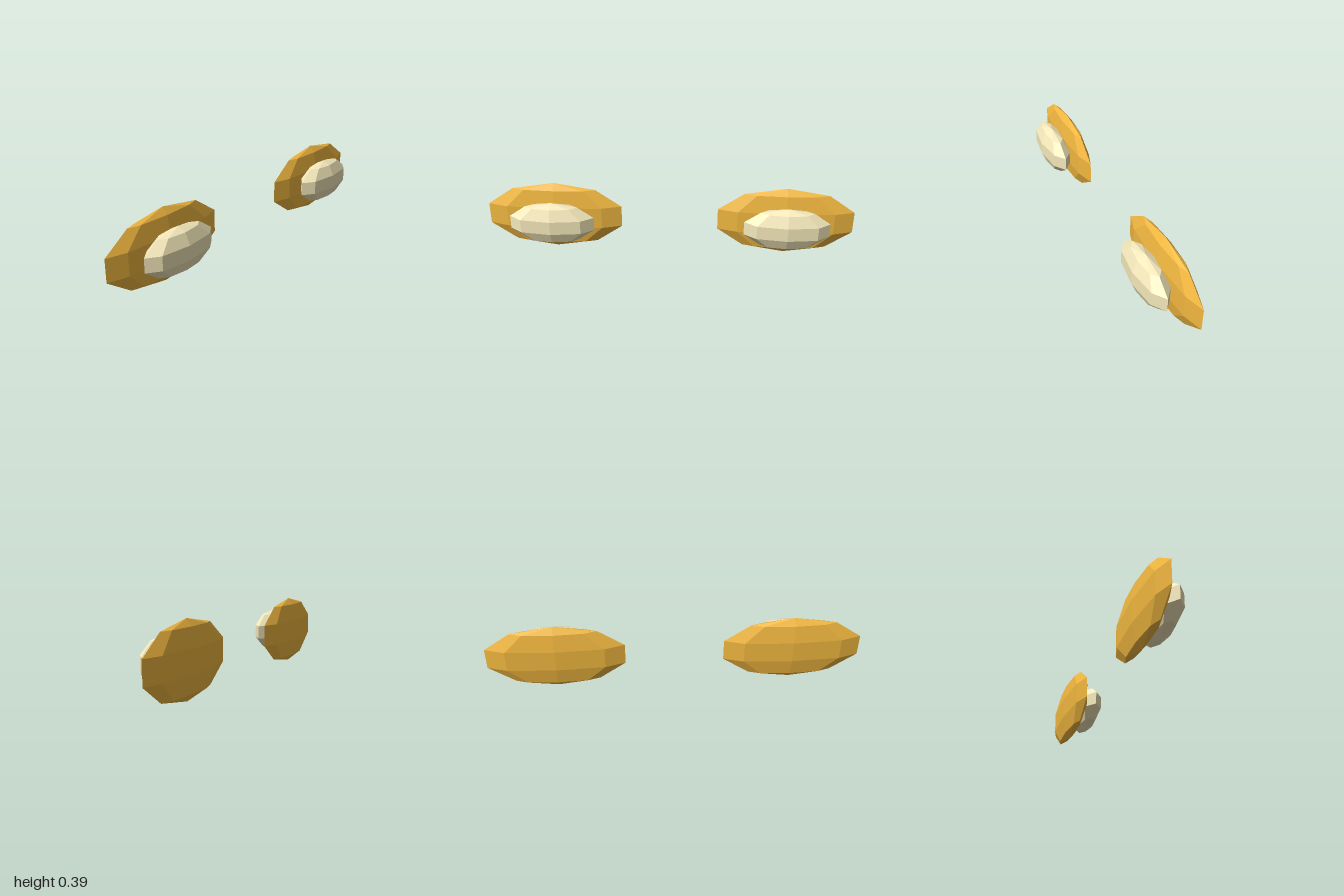
import * as THREE from 'three';

// Low-poly ellipsoid: 8 sides around, 5 bands high
function ellipsoid(name, color, position, radii) {
  const geometry = new THREE.SphereGeometry(1, 8, 5);
  geometry.scale(...radii);
  const mesh = new THREE.Mesh(geometry, new THREE.MeshStandardMaterial({ color, flatShading: true }));
  mesh.name = name;
  mesh.position.set(...position);
  return mesh;
}

export function createModel() {
  const model = new THREE.Group();
  model.name = 'lampPair';

  // Matching lamps on the left (+x) and right (-x)
  for (const side of [1, -1]) {
    const lamp = new THREE.Group();
    lamp.name = side > 0 ? 'leftLamp' : 'rightLamp';
    lamp.position.x = side * 0.632;
    // Flat golden shell behind, rounder cream lens in front
    lamp.add(
      ellipsoid('shell', 0xf2b840, [0, 0.195, -0.06], [0.387, 0.193, 0.048]),
      ellipsoid('lens', 0xf5e9bb, [0, 0.195, 0.038], [0.24, 0.12, 0.073])
    );
    model.add(lamp);
  }
  return model;
}
